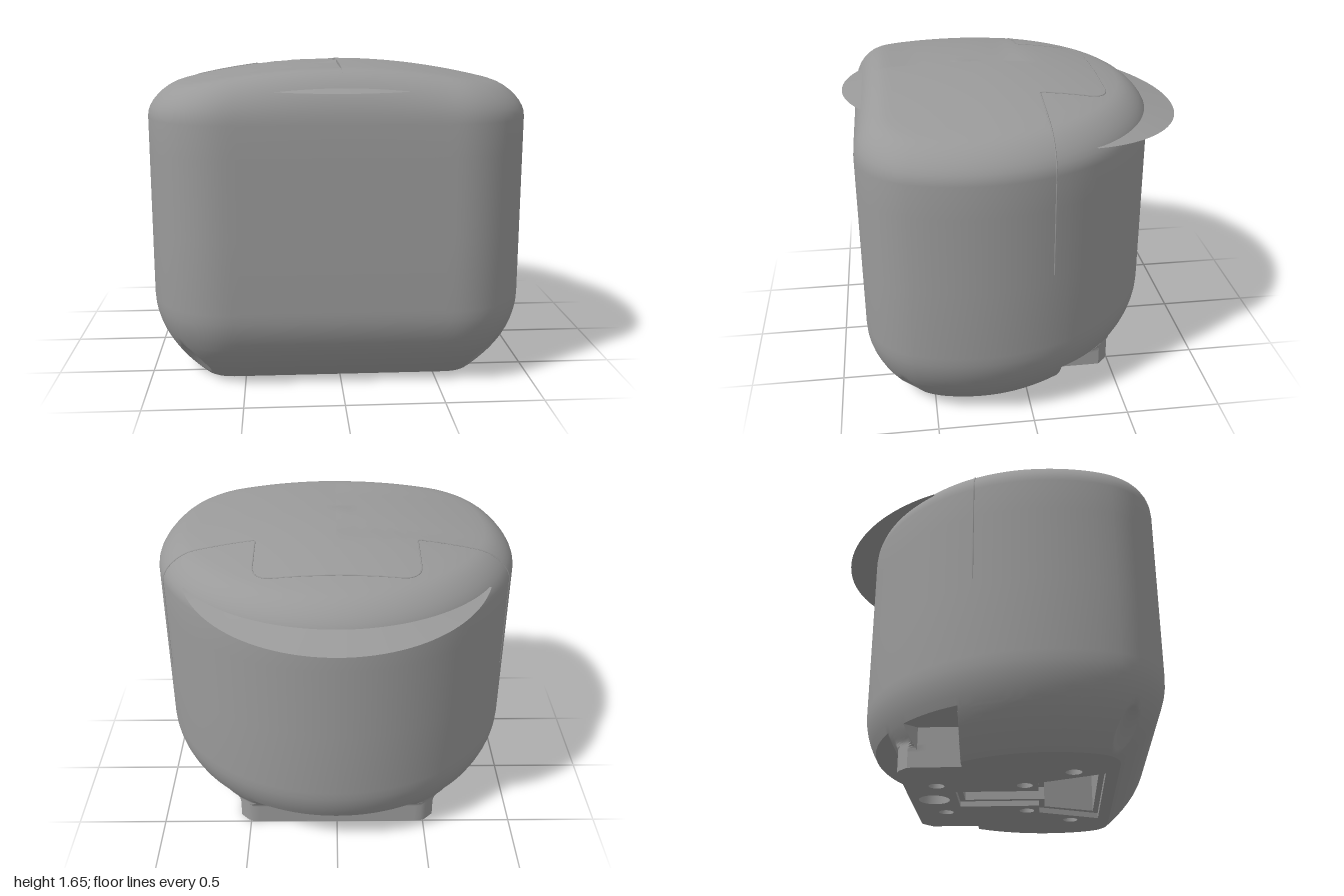
import * as THREE from 'three';
import { toCreasedNormals } from 'three/addons/utils/BufferGeometryUtils.js';

const CZ = 0.25; // centre of the round plan
const NOTCH_TOP = 0.21;
const { clamp, lerp } = THREE.MathUtils;
const grey = new THREE.MeshStandardMaterial({ color: 0x9a9a9a });
const greyThin = new THREE.MeshStandardMaterial({ color: 0x9a9a9a, side: THREE.DoubleSide });

// Grid of points (rows of equal length) to a surface
function gridGeometry(rows, closed) {
  const n = rows[0].length, index = [];
  for (let j = 0; j < rows.length - 1; j++) {
    for (let i = 0; i < (closed ? n : n - 1); i++) {
      const k = (i + 1) % n;
      const a = j * n + i, b = j * n + k, c = a + n, d = b + n;
      index.push(a, c, b, c, d, b);
    }
  }
  const g = new THREE.BufferGeometry();
  g.setAttribute('position', new THREE.Float32BufferAttribute(rows.flat(2), 3));
  g.setIndex(index);
  return toCreasedNormals(g, 0.6);
}

// Plan outline: circle cut by a flat front with rounded corners, inset by d.
// Angle t starts at the back and turns towards +x.
function planRadius(t, d) {
  const s = Math.abs(Math.sin(t)), f = -Math.cos(t);
  if (Math.atan2(s, -f) <= Math.atan2(0.567, -0.195)) return 1 - d;
  const flat = (0.595 - d) / f;
  if (flat * s <= 0.567) return flat;
  const dot = 0.567 * s + 0.195 * f;
  return dot + Math.sqrt(Math.max(0, (0.4 - d) ** 2 - 0.36 + dot * dot));
}

// Notches under the body: rear step, side pockets and front corner scoops
const POCKET_REAR = Math.atan2(0.6, 0.69), POCKET_FRONT = Math.atan2(0.56, 0.42);
const SCOOP = Math.atan2(0.89, -0.456);
function notched(t, r, y) {
  const s = Math.abs(Math.sin(t)), b = Math.cos(t);
  const a = Math.atan2(s, b);
  if (a < POCKET_REAR) {
    const wall = 0.75 + 0.06 * clamp((y - 0.12) / 0.09, 0, 1);
    const block = Math.min(0.56 / Math.max(s, 0.01), 1.25 / (s + b));
    return Math.min(wall / b, Math.max(r, block));
  }
  if (a < POCKET_FRONT) return 0.56 / s;
  if (b > 0.05) return Math.min(r, 0.42 / b);
  // scoop: a round bore that narrows and leans outwards as it rises
  const k = y / NOTCH_TOP, off = a - SCOOP;
  const centre = 0.84 + 0.1 * k;
  const h = 0.0081 * (1 - k * k) - (centre * Math.sin(off)) ** 2;
  return h > 0 ? Math.min(r, centre * Math.cos(off) - Math.sqrt(h)) : r;
}

// Sample angles, closer together where notch edges run
function planAngles() {
  const list = [];
  for (let i = 0; i < 180; i++) list.push(-Math.PI + (i + 0.5) * Math.PI / 90);
  for (const a of [POCKET_REAR, POCKET_FRONT])
    for (const e of [-1e-4, 1e-4]) list.push(a + e, -a - e);
  for (let i = 1; i < 48; i++) {
    const pocket = POCKET_FRONT + 0.2 * i / 48, scoop = SCOOP + 0.22 * (i / 48 - 0.5);
    list.push(pocket, -pocket, scoop, -scoop);
  }
  list.push(-1e-4, 1e-4, Math.PI - 1e-4, 1e-4 - Math.PI);
  return list.sort((p, q) => p - q);
}

// Gently domed top with a slight step along the middle, and its rounded shoulder
function crown(x, z) {
  const dome = 1.65 - 0.15 * x * x - (z < 0.2 ? 0.15 : 0.08) * (z - 0.2) ** 2;
  if (x >= 0) return dome;
  return dome - 0.016 * clamp(1 + x / 0.9, 0, 1) * clamp((0.72 - z) / 0.2, 0, 1) * clamp((z + 0.1) / 0.1, 0, 1);
}
const shoulderInset = (k) => 0.17 * (1 - Math.cos(k * Math.PI / 2));
const shoulderY = (x, z, k) => lerp(1.37, crown(x, z), Math.sin(k * Math.PI / 2));
const flareInset = (y) => 0.24 * Math.max(0, 1 - y / 0.42) ** 2;

function buildBody() {
  const angles = planAngles(), rows = [];
  const ring = (radius, height) => rows.push(angles.map((t) => {
    const r = radius(t), x = r * Math.sin(t), z = CZ - r * Math.cos(t);
    return [x, height(x, z), z];
  }));
  for (let j = 0; j <= 21; j++) {
    const y = NOTCH_TOP * j / 21;
    ring((t) => notched(t, planRadius(t, flareInset(y)), y), () => y);
  }
  for (const y of [NOTCH_TOP, 0.25, 0.29, 0.33, 0.37, 0.42, 0.8, 1.2])
    ring((t) => planRadius(t, flareInset(y)), () => y);
  for (let j = 0; j <= 8; j++)
    ring((t) => planRadius(t, shoulderInset(j / 8)), (x, z) => shoulderY(x, z, j / 8));
  for (let j = 11; j >= 0; j--)
    ring((t) => planRadius(t, 0.17) * j / 12, crown);
  return { geometry: gridGeometry(rows, true), floor: rows[0].map(([x, , z]) => new THREE.Vector2(x, z)) };
}

// Flat face looking down, with openings
function downFace(points, y, openings = []) {
  const shape = new THREE.Shape(points);
  shape.holes = openings.map((o) => new THREE.Path(o));
  return new THREE.ShapeGeometry(shape).rotateX(Math.PI / 2).translate(0, y, 0);
}

// Recess walls between two heights, facing inwards
const recessWalls = (points, y0, y1) =>
  gridGeometry([y0, y1].map((y) => [...points].reverse().map((p) => [p.x, y, p.y])), true);

const mirrorOutline = (half) => [
  ...half.map(([x, z]) => new THREE.Vector2(-x, z)),
  ...[...half].reverse().map(([x, z]) => new THREE.Vector2(x, z)),
];

function disc(x, z, r) {
  return Array.from({ length: 20 }, (_, i) =>
    new THREE.Vector2(x + r * Math.cos(i * Math.PI / 10), z + r * Math.sin(i * Math.PI / 10)));
}

// Thin crescent ledge ruled between an outer and an inner edge
function crescent(outer, inner) {
  const rows = [[], [], []];
  for (let i = 0; i <= 48; i++) {
    const u = i / 24 - 1, a = outer(u), b = inner(u);
    rows.forEach((row, j) => row.push(a.map((v, k) => lerp(v, b[k], j / 2))));
  }
  return gridGeometry(rows, false);
}

export function createModel() {
  const model = new THREE.Group();
  const add = (name, geometry, material = grey) => {
    const mesh = new THREE.Mesh(geometry, material);
    mesh.name = name;
    model.add(mesh);
  };

  const { geometry, floor } = buildBody();
  add('body', geometry);

  // Underside with stepped battery bay, round socket and screw holes
  const rim = mirrorOutline([[0.42, 0.54], [0.28, 0.2], [0.14, 0.2], [0.14, -0.24]]);
  const bay = mirrorOutline([[0.37, 0.51], [0.26, 0.23], [0.11, 0.23], [0.11, -0.21]]);
  add('bayRim', recessWalls(rim, 0, 0.03));
  add('bayLedge', downFace(rim, 0.03, [bay]));
  add('bayWalls', recessWalls(bay, 0.03, 0.25));
  add('bayFloor', downFace(bay, 0.25));
  const openings = [rim];
  const hole = (name, x, z, r, depth) => {
    const points = disc(x, z, r);
    openings.push(points);
    add(name + 'Walls', recessWalls(points, 0, depth));
    add(name + 'Floor', downFace(points, depth));
  };
  hole('socket', 0, -0.37, 0.085, 0.08);
  for (const s of [-1, 1])
    for (const [x, z] of [[0.45, 0.38], [0.24, 0.13], [0.25, -0.33]])
      hole('screwHole', s * x, z, 0.042, 0.03);
  add('underside', downFace(floor, 0, openings));

  // Rear visor
  const rearSpan = Math.asin(0.8 / 0.84), bodySpan = Math.atan2(0.8, 0.58);
  add('rearVisor', crescent((u) => {
    const z = -0.07 - 0.84 * Math.cos(u * rearSpan);
    return [0.84 * Math.sin(u * rearSpan), 1.445 + 0.1 * (z + 0.31), z];
  }, (u) => [0.94 * Math.sin(u * bodySpan), 1.445, CZ - 0.94 * Math.cos(u * bodySpan)]), greyThin);

  // Small front lip
  const lipSpan = Math.asin(0.34 / 0.603);
  add('frontLip', crescent(
    (u) => [0.603 * Math.sin(u * lipSpan), 1.525, 0.302 + 0.603 * Math.cos(u * lipSpan)],
    (u) => [0.34 * u, 1.525 + 0.018 * (1 - u * u), 0.79]), greyThin);

  // Panel seam: up one side, round the rear tab of the lid, down the other
  const half = [new THREE.Vector3(Math.sqrt(1 - 0.35 ** 2), 0.84, -0.1)];
  for (let j = 0; j <= 8; j++) {
    const x = Math.sqrt((1 - shoulderInset(j / 8)) ** 2 - 0.35 ** 2);
    half.push(new THREE.Vector3(x, shoulderY(x, -0.1, j / 8), -0.1));
  }
  const onTop = (x, z) => half.push(new THREE.Vector3(x, crown(x, z), z));
  for (const x of [0.65, 0.55, 0.43]) onTop(x, -0.1);
  for (const z of [-0.17, -0.24, -0.3]) onTop(0.43, z);
  for (let j = 0; j <= 6; j++) {
    const a = j * Math.PI / 12;
    onTop(0.33 + 0.1 * Math.cos(a), -0.36 - 0.1 * Math.sin(a));
  }
  for (const x of [0.22, 0.11]) onTop(x, -0.46);
  const mirrored = half.map((p) => new THREE.Vector3(-p.x, p.y, p.z)).reverse();
  const all = [...half, new THREE.Vector3(0, crown(0, -0.46), -0.46), ...mirrored];
  const path = new THREE.CurvePath();
  for (let i = 1; i < all.length; i++) path.add(new THREE.LineCurve3(all[i - 1], all[i]));
  add('panelSeam', new THREE.TubeGeometry(path, 240, 0.004, 5));

  return model;
}
